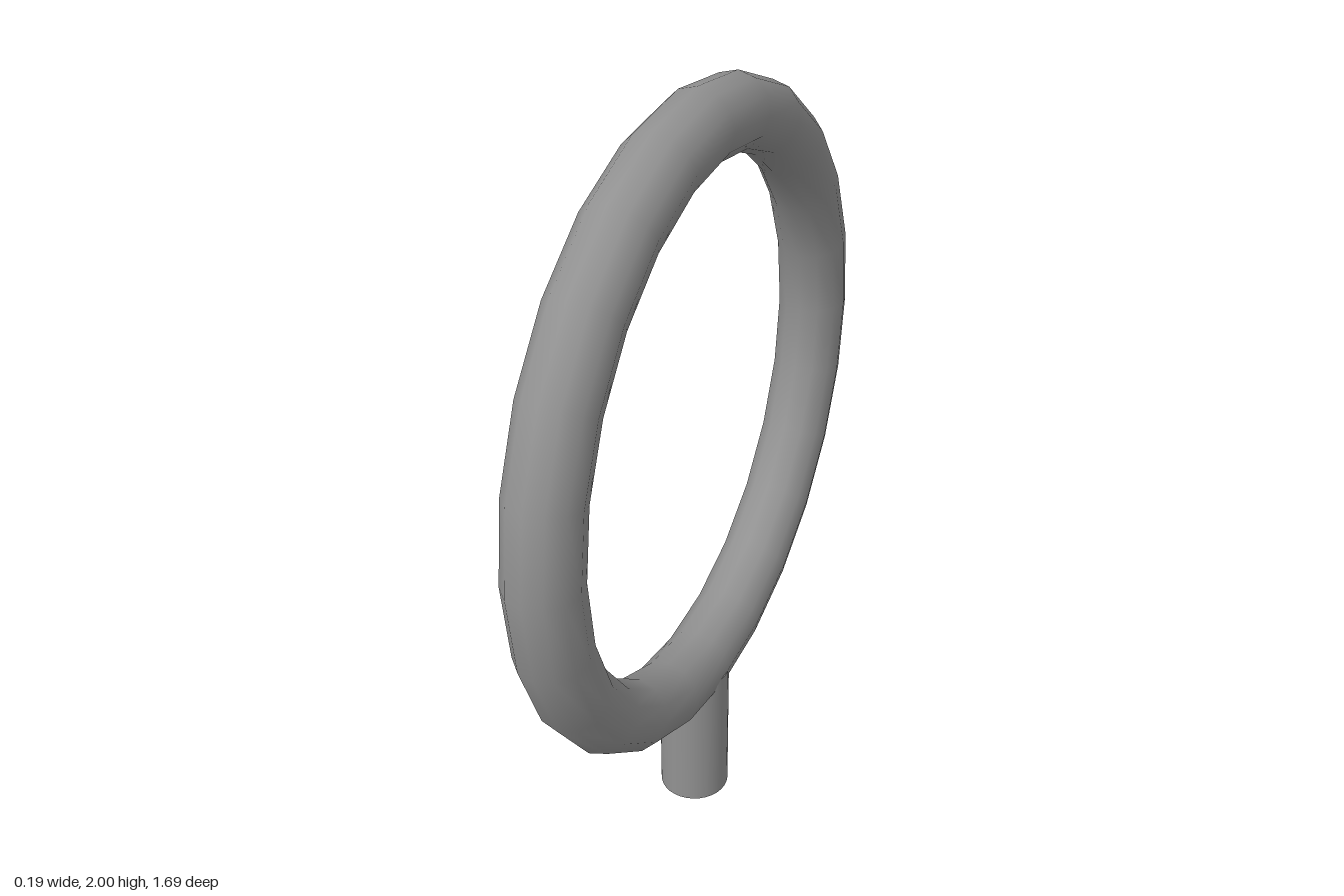
import * as THREE from 'three';

export function createModel() {
  const model = new THREE.Group();
  const material = new THREE.MeshStandardMaterial({ color: 0x919191 });

  // Upright hoop lying in the YZ plane
  const ring = new THREE.Mesh(new THREE.TorusGeometry(0.751, 0.0925, 12, 24), material);
  ring.name = 'ring';
  ring.rotation.y = Math.PI / 2;
  ring.position.y = 1.1565;
  model.add(ring);

  // Short round stem, set slightly forward, its top sunk into the hoop
  const stemHeight = 0.4;
  const stem = new THREE.Mesh(new THREE.CylinderGeometry(0.093, 0.093, stemHeight, 32), material);
  stem.name = 'stem';
  stem.position.set(0, stemHeight / 2, 0.017);
  model.add(stem);

  return model;
}
